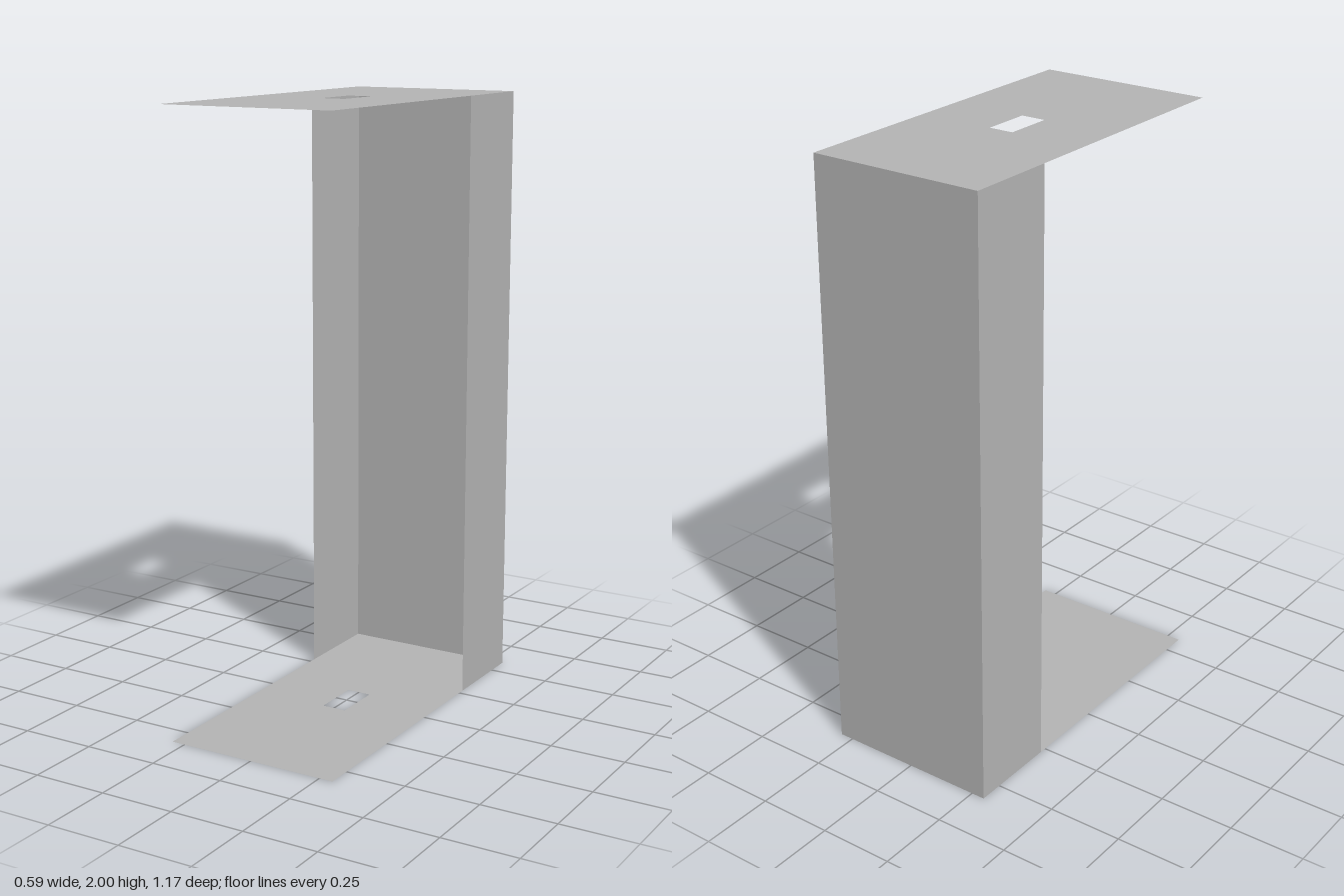
import * as THREE from 'three';

const W = 0.592, D = 1.166, H = 2, WALL = 0.31; // width, depth, height, side wall depth

export function createModel() {
  const group = new THREE.Group();
  const grey = new THREE.MeshStandardMaterial({ color: 0xb2b2b2, side: THREE.DoubleSide });
  grey.name = 'grey sheet metal';

  const add = (name, geometry, x, y, z) => {
    const mesh = new THREE.Mesh(geometry, grey);
    mesh.name = name;
    mesh.position.set(x, y, z);
    group.add(mesh);
  };

  // Back sheet
  add('backPanel', new THREE.PlaneGeometry(W, H).rotateY(Math.PI), 0, H / 2, -D / 2);

  // Narrow side sheets
  for (const [name, side] of [['leftWall', 1], ['rightWall', -1]]) {
    const wall = new THREE.PlaneGeometry(WALL, H).rotateY(side * Math.PI / 2);
    add(name, wall, side * W / 2, H / 2, -D / 2 + WALL / 2);
  }

  // Top and bottom flanges with a rectangular slot
  const rect = (Type, w, h) => new Type([[-w, -h], [w, -h], [w, h], [-w, h]]
    .map(([x, y]) => new THREE.Vector2(x / 2, y / 2)));
  const outline = rect(THREE.Shape, W, D);
  outline.holes.push(rect(THREE.Path, 0.083, 0.164));
  for (const [name, y, turn] of [['topFlange', H, -1], ['bottomFlange', 0, 1]]) {
    add(name, new THREE.ShapeGeometry(outline).rotateX(turn * Math.PI / 2), 0, y, 0);
  }
  return group;
}
